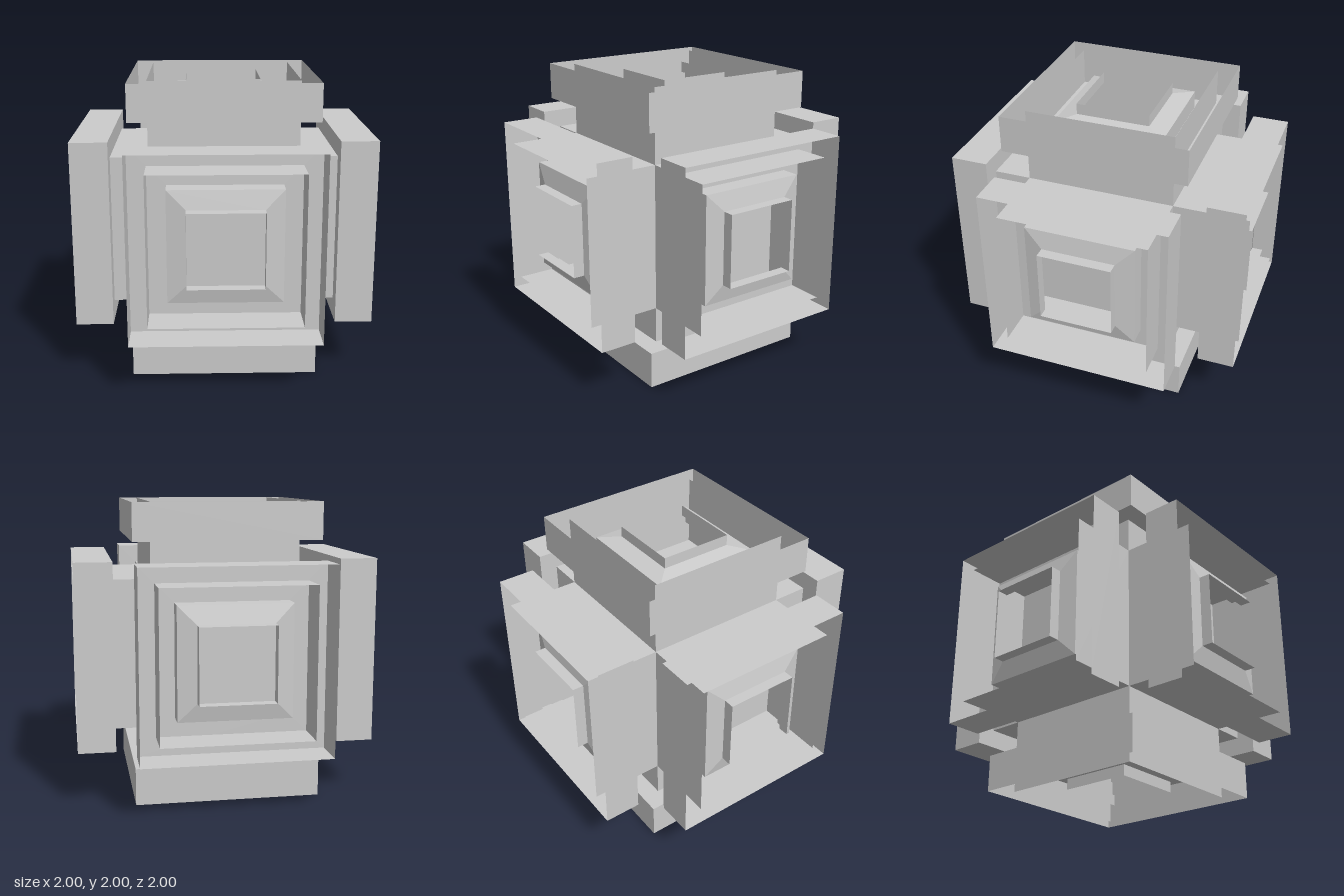
import * as THREE from 'three';

const material = new THREE.MeshStandardMaterial({
  color: 0xcccccc, flatShading: true, side: THREE.DoubleSide,
});

// Thin square shell: each profile point is [half width, distance from the centre]
function squareShell(name, profile) {
  const points = profile.map(([half, h]) => new THREE.Vector2(half * Math.SQRT2, h));
  const mesh = new THREE.Mesh(new THREE.LatheGeometry(points, 4, Math.PI / 4), material);
  mesh.name = name;
  return mesh;
}

// Nested square shells standing on one side of the core, pointing along +y
function createSide(name) {
  const side = new THREE.Group();
  side.name = name;
  side.add(
    squareShell('outerTray', [[0.375, 0.75], [0.625, 0.75], [0.625, 1]]),
    squareShell('neckWall', [[0.5, 0.5], [0.5, 1]]),
    squareShell('innerBox', [[0.375, 0.75], [0.375, 0.875], [0.25, 0.9]]),
    squareShell('centreCollar', [[0.25, 0.9], [0.25, 0.975]]),
  );
  return side;
}

export function createModel() {
  const model = new THREE.Group();
  model.name = 'nestedCube';

  const core = new THREE.Mesh(new THREE.BoxGeometry(1, 1, 1), material);
  core.name = 'core';
  model.add(core);

  // One identical side for each of the six directions
  const up = new THREE.Vector3(0, 1, 0);
  const directions = {
    topSide: [0, 1, 0], bottomSide: [0, -1, 0],
    leftSide: [1, 0, 0], rightSide: [-1, 0, 0],
    frontSide: [0, 0, 1], backSide: [0, 0, -1],
  };
  for (const [name, dir] of Object.entries(directions)) {
    const side = createSide(name);
    side.quaternion.setFromUnitVectors(up, new THREE.Vector3(...dir));
    model.add(side);
  }

  // Lift so the lowest side stands on the ground
  model.children.forEach((part) => { part.position.y = 1; });
  return model;
}
